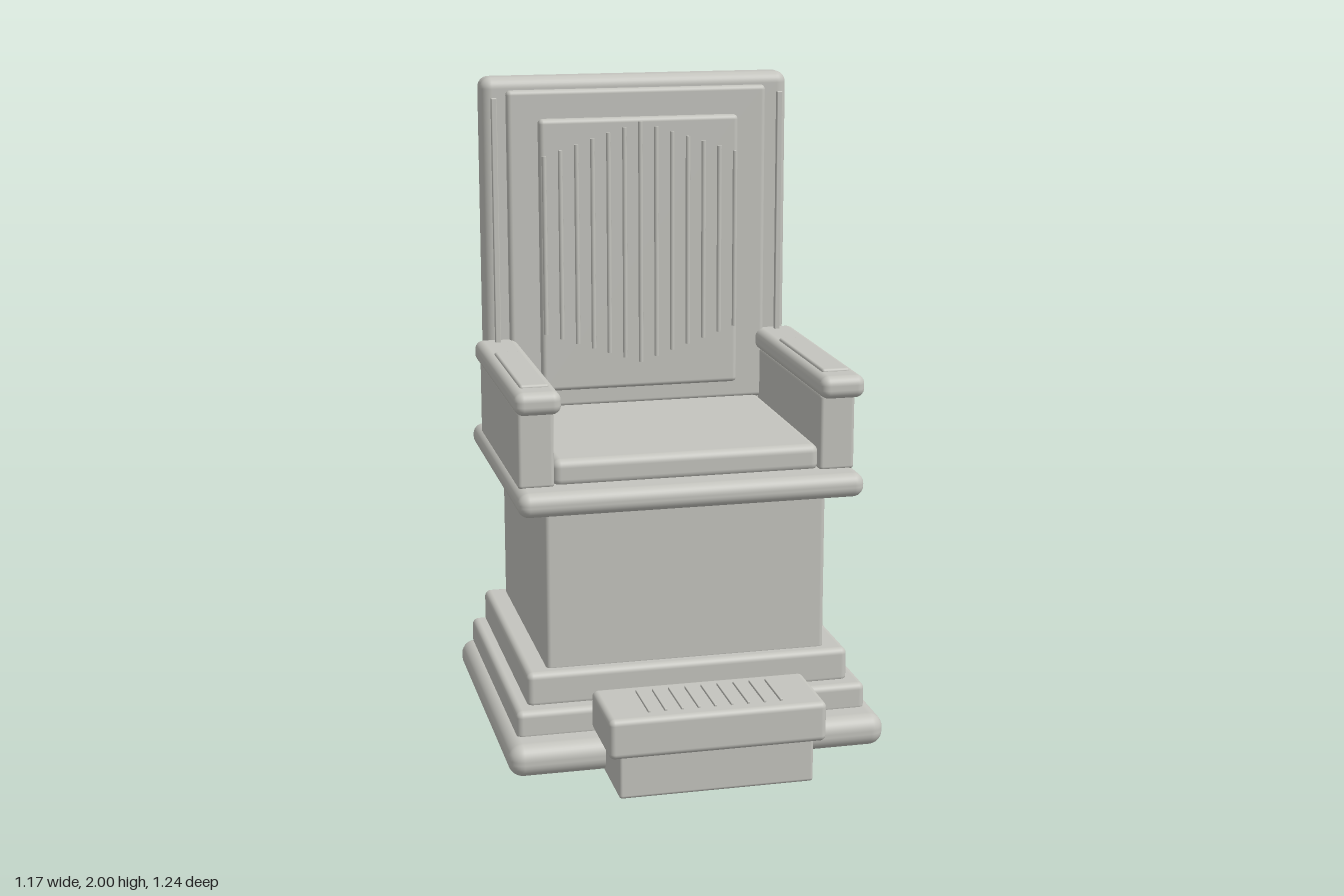
import * as THREE from 'three';
import { RoundedBoxGeometry } from 'three/addons/geometries/RoundedBoxGeometry.js';

const stone = new THREE.MeshStandardMaterial({ color: 0xc4c4be });
stone.name = 'pale stone';

// Rounded block given by its extents on each axis
function block(parent, name, [x0, x1], [y0, y1], [z0, z1], radius) {
  const geometry = new RoundedBoxGeometry(x1 - x0, y1 - y0, z1 - z0, 4, radius);
  const mesh = new THREE.Mesh(geometry, stone);
  mesh.name = name;
  mesh.position.set((x0 + x1) / 2, (y0 + y1) / 2, (z0 + z1) / 2);
  parent.add(mesh);
  return mesh;
}

function group(parent, name) {
  const g = new THREE.Group();
  g.name = name;
  parent.add(g);
  return g;
}

export function createModel() {
  const throne = new THREE.Group();
  throne.name = 'throne';

  // Stepped plinth and pedestal
  const base = group(throne, 'base');
  block(base, 'bottomStep', [-0.585, 0.585], [0.005, 0.105], [-0.62, 0.405], 0.045);
  block(base, 'middleStep', [-0.547, 0.547], [0.09, 0.182], [-0.597, 0.31], 0.02);
  block(base, 'topStep', [-0.505, 0.505], [0.17, 0.282], [-0.585, 0.257], 0.02);
  block(base, 'pedestal', [-0.438, 0.438], [0.27, 0.78], [-0.555, 0.218], 0.015);

  // Seat
  const seat = group(throne, 'seat');
  block(seat, 'seatSlab', [-0.532, 0.532], [0.785, 0.86], [-0.6, 0.325], 0.034);
  block(seat, 'seatCushion', [-0.412, 0.412], [0.85, 0.935], [-0.48, 0.228], 0.025);
  block(seat, 'seatNeck', [-0.42, 0.42], [0.77, 0.8], [-0.54, 0.2], 0.005);

  // Arms, mirrored left and right
  for (const [side, label] of [[1, 'left'], [-1, 'right']]) {
    const arm = group(throne, label + 'Arm');
    const span = (a, b) => (side > 0 ? [a, b] : [-b, -a]);
    block(arm, 'armPanel', span(0.41, 0.52), [0.855, 1.095], [-0.47, 0.24], 0.012);
    block(arm, 'armRest', span(0.395, 0.535), [1.09, 1.16], [-0.495, 0.3], 0.028);
    block(arm, 'armInlay', span(0.42, 0.507), [1.15, 1.168], [-0.256, 0.22], 0.008);
    block(arm, 'backPost', span(0.456, 0.474), [1.15, 1.94], [-0.447, -0.429], 0.003);
  }

  // Layered backrest
  const back = group(throne, 'backrest');
  block(back, 'backSlab', [-0.5, 0.5], [0.85, 2], [-0.575, -0.467], 0.035);
  block(back, 'outerPanel', [-0.423, 0.423], [0.93, 1.96], [-0.5, -0.447], 0.015);
  block(back, 'innerPanel', [-0.325, 0.325], [0.99, 1.87], [-0.47, -0.42], 0.015);

  // Fan of rods, longest in the middle
  for (let i = -6; i <= 6; i++) {
    const n = Math.abs(i);
    const top = 1.858 - 0.017 * n;
    const bottom = 1.077 + 0.0175 * n;
    const rod = new THREE.Mesh(new THREE.CylinderGeometry(0.0075, 0.0075, top - bottom, 12), stone);
    rod.name = 'backRod';
    rod.position.set(i * 0.052, (top + bottom) / 2, -0.412);
    back.add(rod);
  }

  // Footrest with ribbed top
  const footrest = group(throne, 'footrest');
  block(footrest, 'footrestBase', [-0.295, 0.295], [0, 0.145], [0.372, 0.597], 0.01);
  block(footrest, 'footrestTop', [-0.328, 0.328], [0.132, 0.255], [0.352, 0.62], 0.018);
  for (let i = -4; i <= 4; i++) {
    const x = i * 0.05;
    block(footrest, 'footrestRib', [x - 0.004, x + 0.004], [0.25, 0.262], [0.403, 0.575], 0.002);
  }

  return throne;
}
